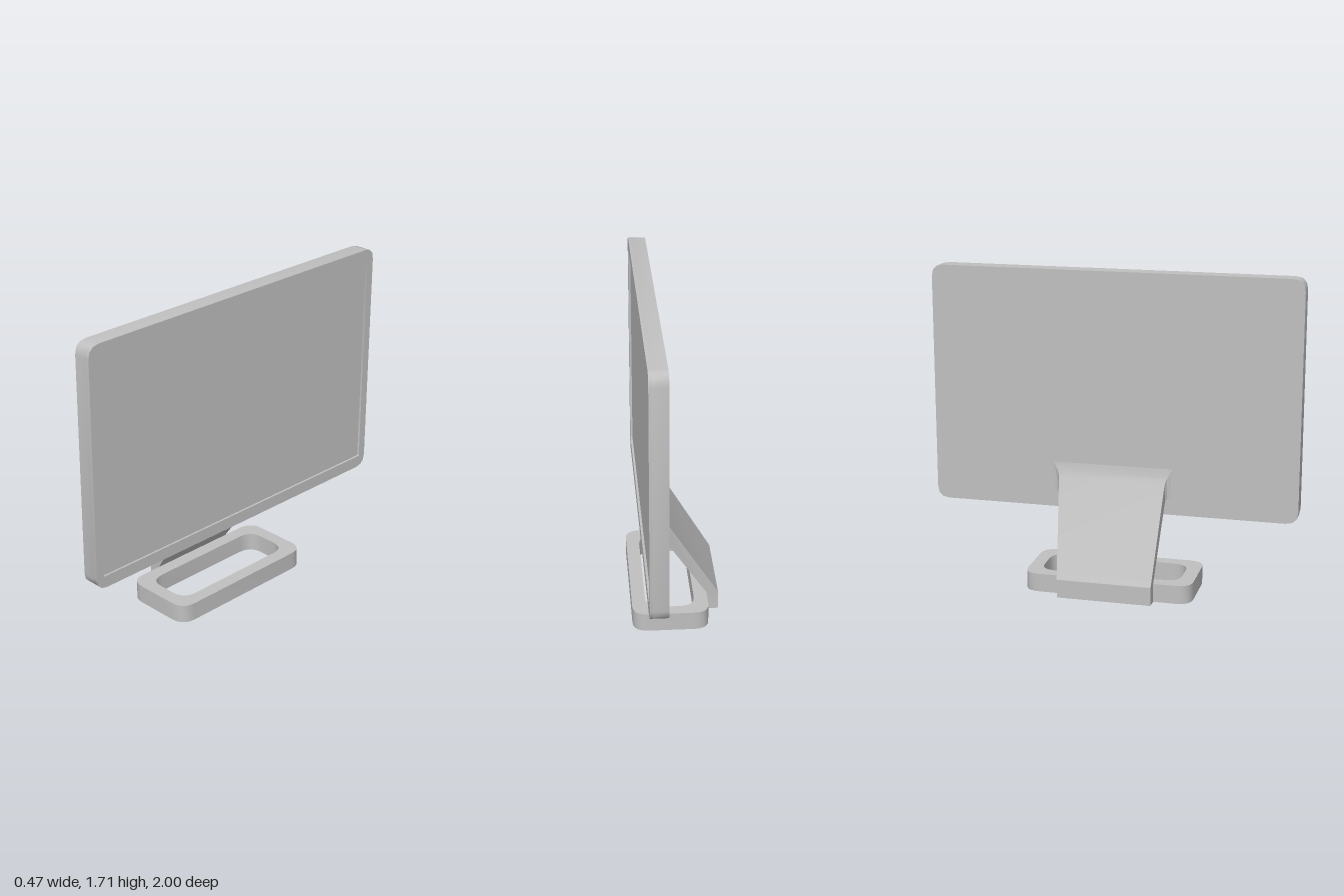
import * as THREE from 'three';
import { toCreasedNormals } from 'three/addons/utils/BufferGeometryUtils.js';

const grey = new THREE.MeshStandardMaterial({ color: 0xc0c0c0 });
grey.name = 'light grey';

function part(name, geometry, crease = 0.6) {
  const mesh = new THREE.Mesh(toCreasedNormals(geometry, crease), grey);
  mesh.name = name;
  return mesh;
}

// Rounded rectangle outline between two corners
function roundedRect(target, x0, y0, x1, y1, r) {
  target.moveTo(x0 + r, y0);
  target.lineTo(x1 - r, y0);
  target.quadraticCurveTo(x1, y0, x1, y0 + r);
  target.lineTo(x1, y1 - r);
  target.quadraticCurveTo(x1, y1, x1 - r, y1);
  target.lineTo(x0 + r, y1);
  target.quadraticCurveTo(x0, y1, x0, y1 - r);
  target.lineTo(x0, y0 + r);
  target.quadraticCurveTo(x0, y0, x0 + r, y0);
  return target;
}

function extrude(shape, depth, curveSegments) {
  return new THREE.ExtrudeGeometry(shape, { depth, curveSegments, bevelEnabled: false });
}

// Closed loft through four-cornered sections
function loft(sections) {
  const positions = [], index = [];
  for (const [bx, by, fx, fy, z0, z1] of sections) {
    positions.push(bx, by, z0, bx, by, z1, fx, fy, z1, fx, fy, z0);
  }
  for (let s = 0; s < sections.length - 1; s++) {
    for (let k = 0; k < 4; k++) {
      const a = s * 4 + k, b = s * 4 + (k + 1) % 4;
      index.push(a, b, b + 4, a, b + 4, a + 4);
    }
  }
  const t = (sections.length - 1) * 4;
  index.push(0, 2, 1, 0, 3, 2, t, t + 1, t + 2, t, t + 2, t + 3);
  const g = new THREE.BufferGeometry();
  g.setAttribute('position', new THREE.Float32BufferAttribute(positions, 3));
  g.setIndex(index);
  return g;
}

export function createModel() {
  const model = new THREE.Group();
  model.name = 'monitor';

  // Panel: solid back slab whose front face is the recessed screen
  const outline = () => roundedRect(new THREE.Shape(), -1, 0.405, 1, 1.705, 0.065);
  const slab = extrude(outline(), 0.083, 3);
  slab.rotateY(Math.PI / 2).translate(0.08, 0, 0);
  model.add(part('screenPanel', slab));

  // Bezel frame standing proud of the screen
  const frame = outline();
  frame.holes.push(roundedRect(new THREE.Path(), -0.955, 0.47, 0.955, 1.64, 0.004));
  const bezel = extrude(frame, 0.012, 3);
  bezel.rotateY(Math.PI / 2).translate(0.163, 0, 0);
  model.add(part('bezel', bezel));

  // Base ring lying on the ground
  const ring = roundedRect(new THREE.Shape(), -0.172, -0.48, 0.232, 0.432, 0.085);
  ring.holes.push(roundedRect(new THREE.Path(), -0.1, -0.405, 0.16, 0.36, 0.085));
  const base = extrude(ring, 0.1, 5);
  base.rotateX(-Math.PI / 2);
  model.add(part('baseRing', base));

  // Leaning stand: foot block, sloping slab, flare into the panel's back
  model.add(part('stand', loft([
    [-0.235, 0, -0.172, 0, -0.23, 0.28],
    [-0.235, 0.1, -0.172, 0.1, -0.23, 0.28],
    [0.055, 0.58, 0.066, 0.478, -0.295, 0.288],
    [0.068, 0.61, 0.076, 0.495, -0.305, 0.298],
    [0.077, 0.645, 0.081, 0.5, -0.325, 0.318],
    [0.082, 0.665, 0.084, 0.5, -0.335, 0.328],
  ]), 0.5));

  return model;
}
